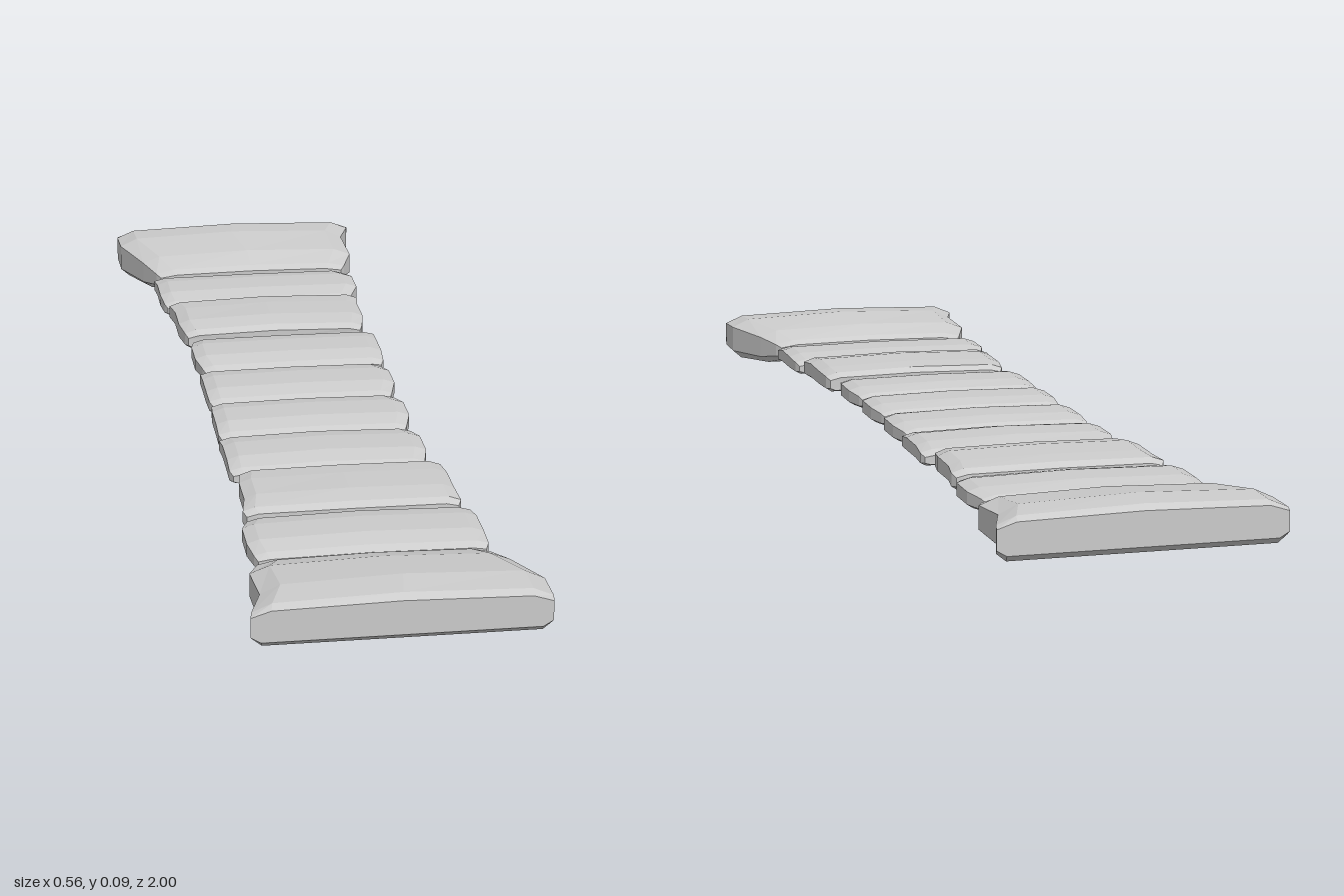
import * as THREE from 'three';

const material = new THREE.MeshStandardMaterial({ color: 0xcccccc, flatShading: true });

// Bevelled, slightly domed cross-section at one z: [z, left x, right x, bottom y, top y]
function section([z, xl, xr, y0, y1], bevel, bow) {
  const h = y1 - y0, c = (xl + xr) / 2;
  const low = y0 + h * 0.17, high = y1 - h * 0.26, shoulder = y1 - h * 0.08;
  return [
    [xl + bevel * 0.5, y0, z], [c, y0, z + bow], [xr - bevel * 0.5, y0, z],
    [xr, low, z], [xr, high, z], [xr - bevel, shoulder, z],
    [c, y1, z + bow],
    [xl + bevel, shoulder, z], [xl, high, z], [xl, low, z],
  ];
}

// Closed stone lofted through its stations, ordered by increasing z
function stone(name, stations, bevel, bow = 0) {
  const rings = stations.map((s) => section(s, bevel, bow));
  const n = rings[0].length, position = [], index = [];
  rings.forEach((r) => r.forEach((p) => position.push(...p)));
  for (let i = 0; i < rings.length - 1; i++) {
    for (let j = 0; j < n; j++) {
      const a = i * n + j, b = i * n + (j + 1) % n;
      index.push(a, b, b + n, a, b + n, a + n);
    }
  }
  // End caps
  [0, rings.length - 1].forEach((k) => {
    const [z, xl, xr, y0, y1] = stations[k], centre = position.length / 3;
    position.push((xl + xr) / 2, (y0 + y1) / 2, z + bow);
    for (let j = 0; j < n; j++) {
      const a = k * n + j, b = k * n + (j + 1) % n;
      if (k === 0) index.push(centre, b, a);
      else index.push(centre, a, b);
    }
  });
  const g = new THREE.BufferGeometry();
  g.setAttribute('position', new THREE.Float32BufferAttribute(position, 3));
  g.setIndex(index);
  g.computeVertexNormals();
  const mesh = new THREE.Mesh(g, material);
  mesh.name = name;
  return mesh;
}

// Thin slab: left and right x at its back, middle and front; edges rounded over
function slab(name, z0, z1, left, right, top, bow) {
  const d = z1 - z0, y0 = 0.025, e = 0.006;
  const flat = top > 0.07;
  const edge = flat ? top - 0.006 : top - 0.008;
  return stone(name, [
    [z0, left[0] + e, right[0] - e, y0 + 0.004, edge - 0.01],
    [z0 + 0.012, left[0], right[0], y0, edge],
    [z0 + d * 0.3, left[1], right[1], y0, flat ? top - 0.002 : top - 0.001],
    [z0 + d * 0.7, left[1], right[1], y0, top],
    [z1 - 0.012, left[2], right[2], y0, edge],
    [z1, left[2] + e, right[2] - e, y0 + 0.004, edge - 0.01],
  ], 0.022, bow);
}

// Thick flared stone at the back end
function endStone(name) {
  return stone(name, [
    [-1, -0.28, 0.23, 0.016, 0.078],
    [-0.985, -0.282, 0.227, 0.004, 0.087],
    [-0.92, -0.28, 0.205, 0, 0.091],
    [-0.82, -0.24, 0.21, 0.006, 0.08],
    [-0.768, -0.217, 0.19, 0.021, 0.064],
    [-0.755, -0.208, 0.182, 0.026, 0.055],
  ], 0.035);
}

export function createModel() {
  const group = new THREE.Group();
  group.name = 'stoneWalkway';

  // End stones, one turned half round
  group.add(endStone('backEndStone'));
  const front = endStone('frontEndStone');
  front.rotation.y = Math.PI;
  group.add(front);

  // Row of slabs: back z, front z, left x, right x, top y, bow of the edges
  const slabs = [
    [-0.743, -0.572, [-0.225, -0.222, -0.217], [0.18, 0.195, 0.178], 0.066, 0.004],
    [-0.563, -0.37, [-0.21, -0.203, -0.195], [0.185, 0.178, 0.17], 0.073, -0.004],
    [-0.357, -0.183, [-0.182, -0.19, -0.18], [0.188, 0.186, 0.184], 0.066, 0.004],
    [-0.173, -0.002, [-0.188, -0.188, -0.186], [0.172, 0.183, 0.172], 0.066, 0.002],
    [0.002, 0.172, [-0.185, -0.188, -0.188], [0.172, 0.183, 0.172], 0.066, 0],
    [0.177, 0.35, [-0.19, -0.188, -0.188], [0.174, 0.185, 0.176], 0.066, -0.003],
    [0.362, 0.555, [-0.173, -0.18, -0.188], [0.198, 0.202, 0.206], 0.073, 0.003],
    [0.562, 0.735, [-0.184, -0.198, -0.19], [0.217, 0.221, 0.222], 0.066, -0.003],
  ];
  slabs.forEach((s, i) => group.add(slab('slab' + (i + 1), ...s)));
  return group;
}
